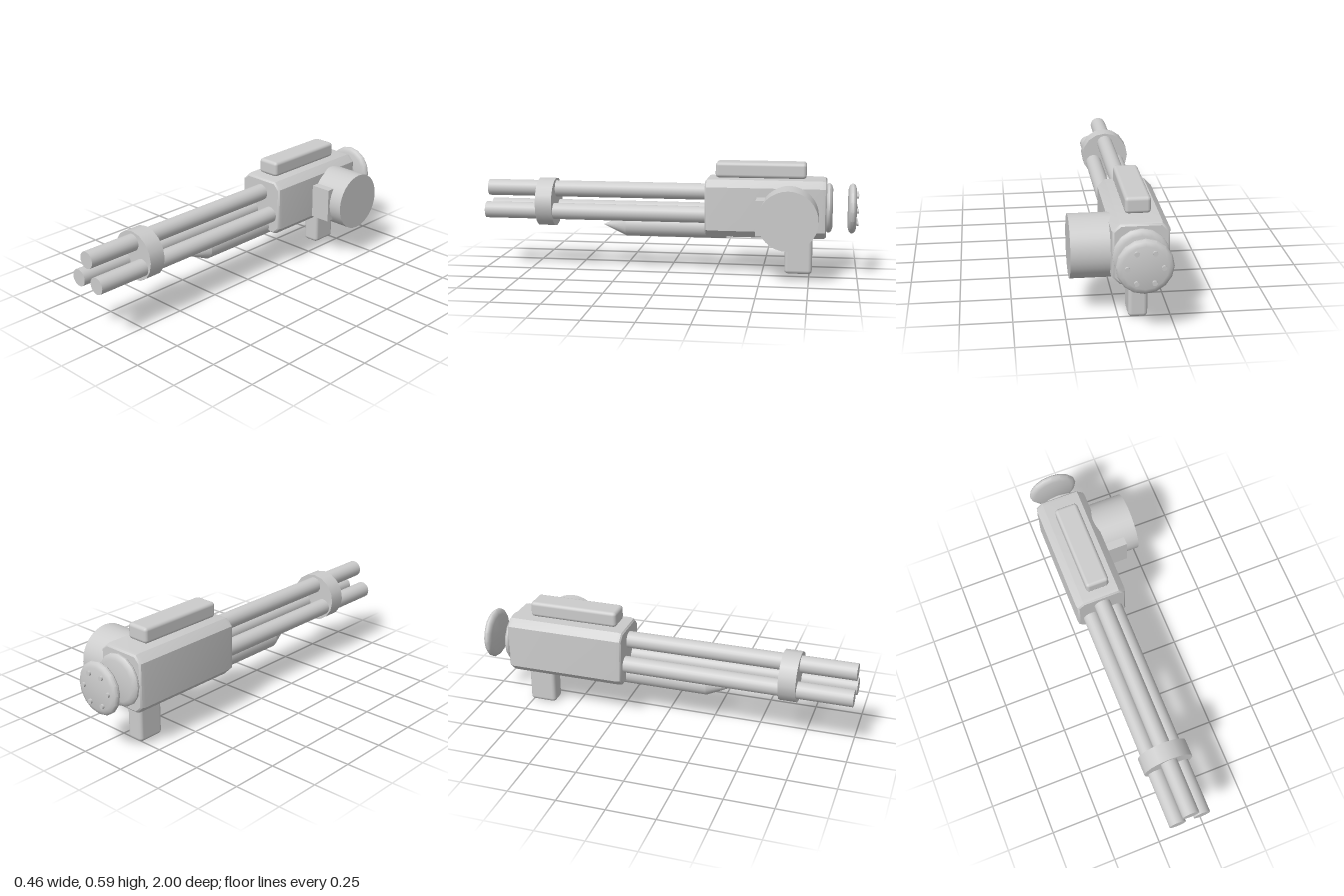
import * as THREE from 'three';
import { RoundedBoxGeometry } from 'three/addons/geometries/RoundedBoxGeometry.js';
import { toCreasedNormals } from 'three/addons/utils/BufferGeometryUtils.js';

const CX = -0.092, CY = 0.355; // axis of the barrel cluster

export function createModel() {
  const model = new THREE.Group();
  model.name = 'rotaryGun';
  const metal = new THREE.MeshStandardMaterial({ color: 0xcccccc });
  metal.name = 'light grey metal';

  const add = (name, geometry, x = 0, y = 0, z = 0) => {
    const mesh = new THREE.Mesh(geometry, metal);
    mesh.name = name;
    mesh.position.set(x, y, z);
    model.add(mesh);
    return mesh;
  };
  // Cylinder along z, given by its back and front ends
  const rod = (name, r, z0, z1, x, y, sides = 24) =>
    add(name, new THREE.CylinderGeometry(r, r, z1 - z0, sides).rotateX(Math.PI / 2), x, y, (z0 + z1) / 2);
  // Box with softened edges, given by its extents
  const softBox = (name, x0, x1, y0, y1, z0, z1, r) =>
    add(name, new RoundedBoxGeometry(x1 - x0, y1 - y0, z1 - z0, 2, r),
      (x0 + x1) / 2, (y0 + y1) / 2, (z0 + z1) / 2);

  // Receiver: chamfered octagonal section with bevelled ends
  const inset = 0.012, bevel = 0.025, cut = 0.03;
  const w = 0.136 - inset, h = 0.1515 - inset;
  const section = new THREE.Shape([
    [w, -h + cut], [w, h - cut], [w - cut, h], [-w + cut, h],
    [-w, h - cut], [-w, -h + cut], [-w + cut, -h], [w - cut, -h],
  ].map(([x, y]) => new THREE.Vector2(x, y)));
  const body = new THREE.ExtrudeGeometry(section, {
    depth: 0.635 - 2 * bevel, bevelEnabled: true, bevelSize: inset, bevelThickness: bevel, bevelSegments: 2,
  });
  add('receiver', toCreasedNormals(body, 0.6), -0.094, 0.3565, -0.835 + bevel);

  // Three barrels and their collar
  for (let i = 0; i < 3; i++) {
    const a = Math.PI / 2 + i * Math.PI * 2 / 3;
    rod('barrel', 0.044, -0.25, 1, CX + 0.076 * Math.cos(a), 0.352 + 0.076 * Math.sin(a));
  }
  rod('barrelCollar', 0.131, 0.625, 0.715, CX, CY, 16);

  // Pointed tube under the barrels
  rod('underTube', 0.059, -0.305, 0.235, CX, 0.237);
  add('underTubeTip', new THREE.ConeGeometry(0.059, 0.13, 24, 1, true).rotateX(Math.PI / 2), CX, 0.237, 0.3);

  // Ammunition drum on the left side, with its feed block
  add('drum', new THREE.CylinderGeometry(0.154, 0.154, 0.223, 32).rotateZ(Math.PI / 2), 0.1165, 0.332, -0.642);
  add('feedBlock', new THREE.BoxGeometry(0.155, 0.183, 0.166), 0.0775, 0.3315, -0.557);

  // Top rail and grip
  softBox('topRail', -0.155, -0.031, 0.512, 0.594, -0.727, -0.25, 0.018);
  softBox('grip', -0.14, -0.046, 0, 0.26, -0.765, -0.62, 0.02);

  // Rounded end discs: one against the receiver, one at the rear
  const disc = (name, z0, z1) => {
    const t = (z1 - z0) / 2;
    const profile = [[0, -t], [0.105, -t], [0.124, -0.7 * t], [0.133, -0.2 * t],
      [0.133, 0.2 * t], [0.124, 0.7 * t], [0.105, t], [0, t]].map(([r, y]) => new THREE.Vector2(r, y));
    const g = new THREE.LatheGeometry(profile, 16).rotateX(Math.PI / 2);
    add(name, toCreasedNormals(g, 0.7), CX, CY, (z0 + z1) / 2);
  };
  disc('receiverEndDisc', -0.866, -0.826);
  disc('rearDisc', -0.989, -0.947);

  // Ring of bolts on the rear disc
  for (let i = 0; i < 6; i++) {
    const a = i * Math.PI / 3;
    rod('bolt', 0.012, -1, -0.98, CX + 0.083 * Math.cos(a), CY + 0.083 * Math.sin(a), 10);
  }
  return model;
}
